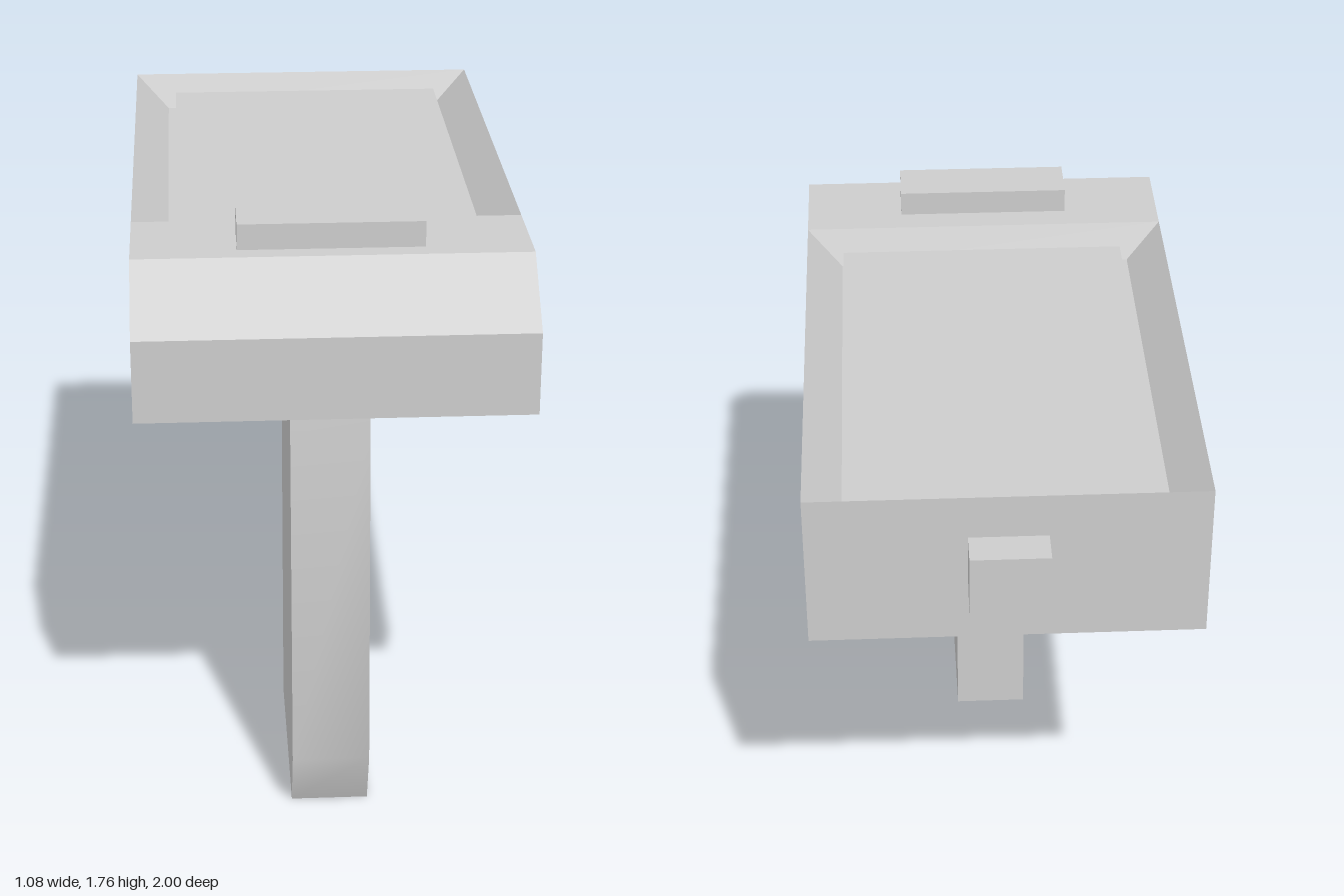
import * as THREE from 'three';
import { toCreasedNormals } from 'three/addons/utils/BufferGeometryUtils.js';

const CREASE = THREE.MathUtils.degToRad(30);

export function createModel() {
  const group = new THREE.Group();
  const grey = new THREE.MeshStandardMaterial({ color: 0xcccccc });
  grey.name = 'light grey';

  const add = (name, geometry) => {
    const mesh = new THREE.Mesh(geometry, grey);
    mesh.name = name;
    group.add(mesh);
  };

  // Box given by its extents on each axis
  const addBox = (name, [x0, x1], [y0, y1], [z0, z1]) => {
    const g = new THREE.BoxGeometry(x1 - x0, y1 - y0, z1 - z0);
    g.translate((x0 + x1) / 2, (y0 + y1) / 2, (z0 + z1) / 2);
    add(name, g);
  };

  add('body', bodyGeometry());
  addBox('screen', [-0.415, 0.43], [1.58, 1.645], [-0.847, 0.468]);
  addBox('topButton', [-0.255, 0.25], [1.68, 1.765], [0.612, 0.765]);
  addBox('rearConnector', [-0.11, 0.105], [1.39, 1.565], [-1, -0.89]);

  // Grip: side profile (z, y) extruded across x
  const grip = new THREE.Shape([
    [0.245, 1.235], [0.245, 0.027], [0.82, 0], [0.893, 0.18], [0.825, 1.17], [0.82, 1.235],
  ].map(([z, y]) => new THREE.Vector2(z, y)));
  const gripGeometry = new THREE.ExtrudeGeometry(grip, { depth: 0.22, bevelEnabled: false });
  gripGeometry.rotateY(-Math.PI / 2).translate(0.102, 0, 0);
  add('grip', toCreasedNormals(gripGeometry, CREASE));

  return group;
}

// Housing with chamfered nose and a sloping recess sunk into the top
function bodyGeometry() {
  const L = -0.54, R = 0.537, top = 1.693, floor = 1.59;
  const positions = [];
  const fan = (points) => {
    for (let i = 1; i < points.length - 1; i++) {
      positions.push(...points[0], ...points[i], ...points[i + 1]);
    }
  };

  // Side profile (z, y) from the recess edge forward, down and back
  const profile = [
    [0.53, top], [0.82, top], [1, 1.533], [1, 1.3], [0.82, 1.234], [-0.9, 1.234], [-0.9, top],
  ];
  const side = (x) => profile.map(([z, y]) => [x, y, z]);
  const left = side(L), right = side(R);
  for (let i = 0; i < profile.length - 1; i++) {
    fan([left[i], left[i + 1], right[i + 1], right[i]]);
  }
  fan(right);
  fan(left.reverse());

  // Recess walls and floor
  const rect = (x0, x1, z0, z1, y) => [[x0, y, z0], [x0, y, z1], [x1, y, z1], [x1, y, z0]];
  const rim = rect(L, R, -0.9, 0.53, top);
  const base = rect(-0.44, 0.435, -0.857, 0.482, floor);
  for (let i = 0; i < 4; i++) {
    const j = (i + 1) % 4;
    fan([rim[i], rim[j], base[j], base[i]]);
  }
  fan(base);

  const g = new THREE.BufferGeometry();
  g.setAttribute('position', new THREE.Float32BufferAttribute(positions, 3));
  return toCreasedNormals(g, CREASE);
}
